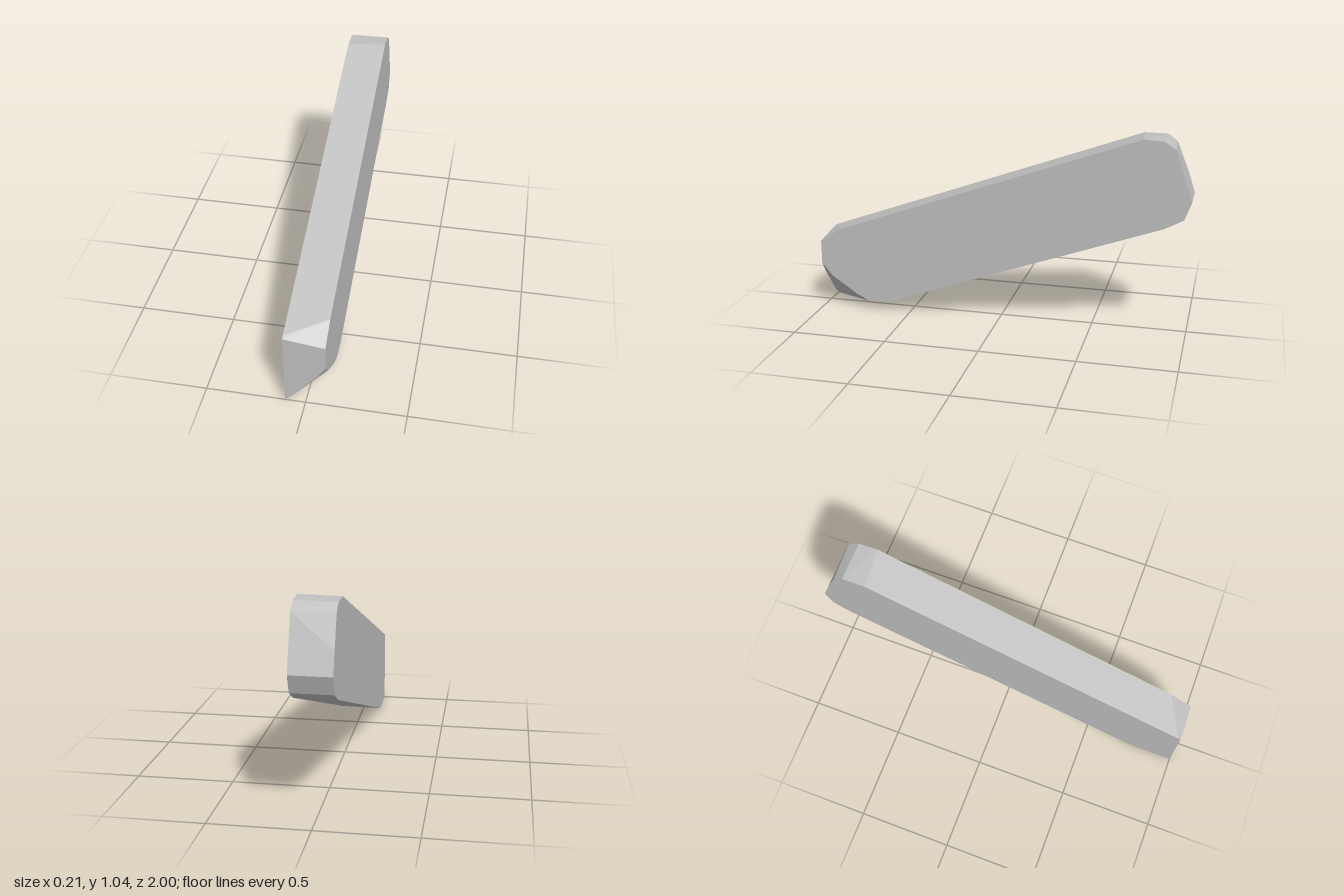
import * as THREE from 'three';
import { ConvexGeometry } from 'three/addons/geometries/ConvexGeometry.js';

const HALF = 0.103; // half thickness of the plank

export function createModel() {
  const group = new THREE.Group();
  group.name = 'leaningPlank';

  const stone = new THREE.MeshStandardMaterial({ color: 0xc0c0c0, flatShading: true });
  stone.name = 'plain grey';

  // left face outline, [z, y], with the lower front corner broken away
  const left = [
    [1, 0.38], [0.88, 0.457], [-0.75, 1.045], [-0.85, 1.039], [-0.91, 1.0],
    [-0.963, 0.845], [-1, 0.735], [-0.965, 0.642], [-0.87, 0.59],
    [0.62, 0.054], [0.73, 0.049], [0.8, 0.085], [0.94, 0.18], [1, 0.252],
  ];
  // right face outline, [z, y], reaching down to the pointed corner
  const right = [
    [1, 0.407], [0.985, 0.416], [-0.73, 1.037], [-0.85, 1.037], [-0.9, 1.0],
    [-0.963, 0.845], [-1, 0.735], [-0.965, 0.642], [-0.87, 0.59],
    [0.77, 0], [1, 0],
  ];
  // curved break across the front end, [x, y] at z = 1
  const frontBreak = [[-0.067, 0.033], [0.056, 0.18]];

  const points = [
    ...left.map(([z, y]) => new THREE.Vector3(HALF, y, z)),
    ...right.map(([z, y]) => new THREE.Vector3(-HALF, y, z)),
    ...frontBreak.map(([x, y]) => new THREE.Vector3(x, y, 1)),
  ];

  // the faceted plank is the convex solid around both faces
  const plank = new THREE.Mesh(new ConvexGeometry(points), stone);
  plank.name = 'plank';
  group.add(plank);
  return group;
}
